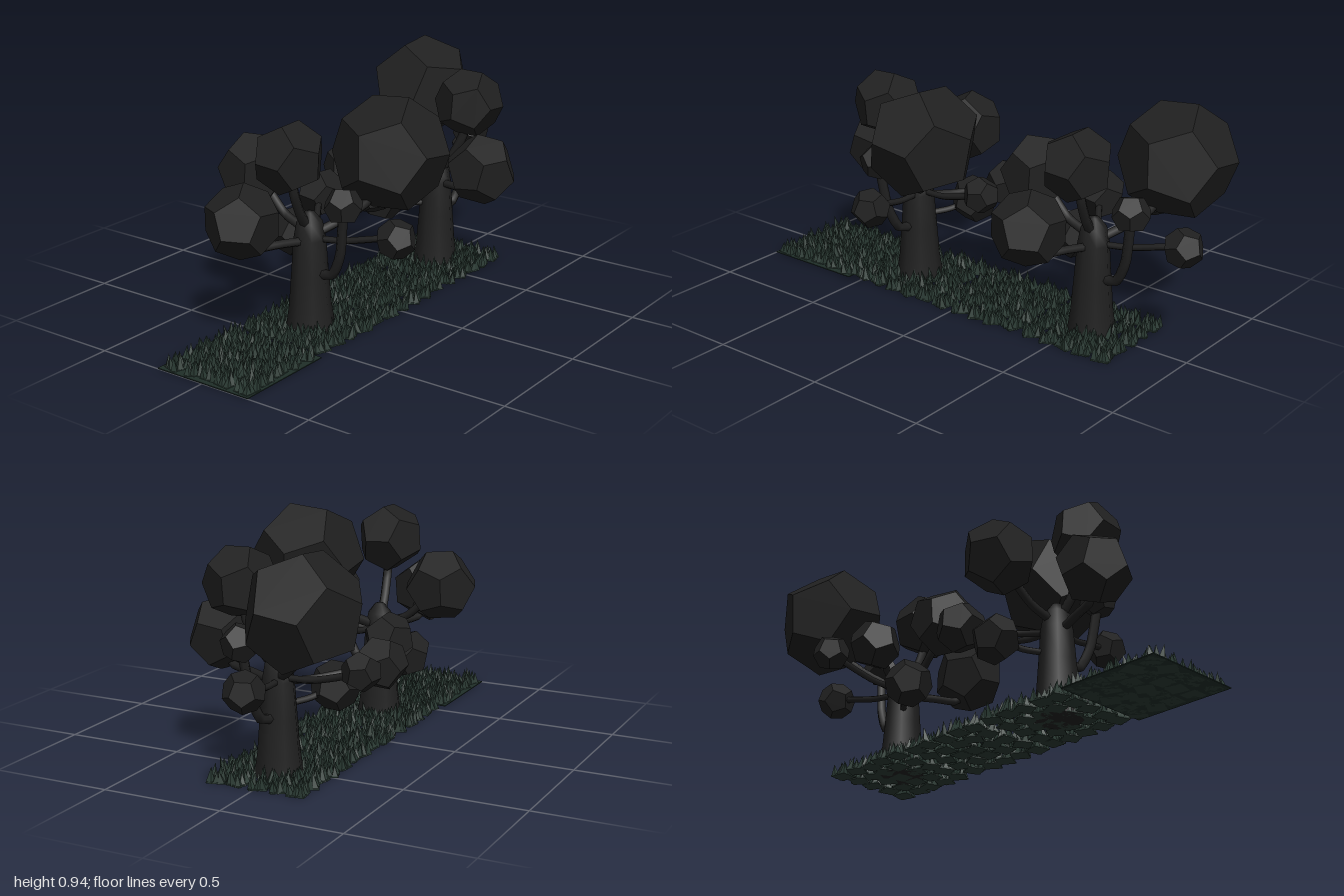
import * as THREE from 'three';
import { mergeGeometries } from 'three/addons/utils/BufferGeometryUtils.js';

const colour = (name, color, flatShading = true) => {
  const m = new THREE.MeshStandardMaterial({ color, flatShading });
  m.name = name;
  return m;
};
const V = (p) => new THREE.Vector3(...p);

function named(geometry, material, name) {
  const mesh = new THREE.Mesh(geometry, material);
  mesh.name = name;
  return mesh;
}

// Small seeded generator for the scattered grass
function seeded(seed) {
  return () => {
    seed = (seed * 16807) % 2147483647;
    return seed / 2147483647;
  };
}

// Each leaf ball: centre, radius, branch thickness and the branch points leading to it
const LEAVES = [
  { at: [0.228, 0.715, 0.226], r: 0.236, thick: 0.02, via: [[0.02, 0.4, 0.02], [0.1, 0.45, 0.09], [0.17, 0.53, 0.17]] },
  { at: [-0.147, 0.75, 0.02], r: 0.148, thick: 0.02, via: [[-0.01, 0.42, 0], [-0.07, 0.5, 0.01], [-0.12, 0.6, 0.02]] },
  { at: [-0.29, 0.51, -0.1], r: 0.152, thick: 0.018, via: [[-0.03, 0.375, 0], [-0.14, 0.385, -0.04], [-0.25, 0.395, -0.08]] },
  { at: [0.03, 0.605, -0.295], r: 0.152, thick: 0.018, via: [[0, 0.41, -0.02], [0.01, 0.45, -0.13], [0.02, 0.52, -0.21]] },
  { at: [0.145, 0.325, -0.195], r: 0.102, thick: 0.014, via: [[0.02, 0.28, -0.02], [0.08, 0.29, -0.1], [0.12, 0.31, -0.16]] },
  { at: [0.335, 0.435, -0.2], r: 0.108, thick: 0.015, via: [[0.02, 0.37, -0.02], [0.13, 0.385, -0.07], [0.25, 0.41, -0.15]] },
  { at: [0.37, 0.465, 0.04], r: 0.078, thick: 0.014, via: [[0.02, 0.39, 0], [0.15, 0.4, 0.02], [0.27, 0.43, 0.03]] },
  { at: [-0.045, 0.565, 0.2], r: 0.078, thick: 0.02, via: [[0, 0.24, 0.04], [-0.01, 0.255, 0.12], [-0.025, 0.36, 0.17]] },
  { at: [0.065, 0.435, 0.37], r: 0.082, thick: 0.014, via: [[0.01, 0.38, 0.03], [0.03, 0.39, 0.15], [0.05, 0.42, 0.28]] },
];

function makeTree(bark, foliage) {
  const tree = new THREE.Group();
  tree.name = 'tree';

  // Flared trunk, closing where the branches fork
  const profile = [[0.1, 0], [0.086, 0.1], [0.075, 0.24], [0.065, 0.38], [0.052, 0.45], [0.02, 0.49], [0, 0.495]];
  tree.add(named(new THREE.LatheGeometry(profile.map((p) => new THREE.Vector2(...p)), 8), bark, 'trunk'));
  const base = named(new THREE.CircleGeometry(0.1, 8).rotateX(Math.PI / 2), bark, 'trunkBase');
  tree.add(base);

  LEAVES.forEach(({ at, r, thick, via }, i) => {
    const path = new THREE.CatmullRomCurve3([...via, at].map(V), false, 'catmullrom', 0.3);
    tree.add(named(new THREE.TubeGeometry(path, 10, thick, 6), bark, 'branch'));
    const ball = named(new THREE.DodecahedronGeometry(r), foliage, 'leafBall');
    ball.position.set(...at);
    ball.rotation.set(0.35 + i * 0.7, 0.5 + i * 1.1, 0.2 + i * 0.4);
    tree.add(ball);
  });
  return tree;
}

// One square tuft: thin base with a 3 x 3 set of leaning blades
function tuftGeometry(rand) {
  const parts = [new THREE.BoxGeometry(0.072, 0.006, 0.072).translate(0, 0.003, 0)];
  for (let i = 0; i < 9; i++) {
    const h = 0.045 + rand() * 0.025;
    const blade = new THREE.ConeGeometry(0.018, h, 4).rotateY(rand() * 3).translate(0, h / 2, 0);
    const x = ((i % 3) - 1) * 0.023, z = (Math.floor(i / 3) - 1) * 0.023;
    const lean = new THREE.Matrix4().set(
      1, (rand() - 0.5) * 0.4, 0, x,
      0, 1, 0, 0,
      0, (rand() - 0.5) * 0.4, 1, z,
      0, 0, 0, 1);
    parts.push(blade.applyMatrix4(lean));
  }
  return mergeGeometries(parts);
}

// Square patch of 5 x 5 scattered tufts
function grassGeometry(rand, size) {
  const step = size / 5;
  const parts = [];
  for (let i = 0; i < 25; i++) {
    const x = ((i % 5) - 2) * step + (rand() - 0.5) * 0.015;
    const z = (Math.floor(i / 5) - 2) * step + (rand() - 0.5) * 0.015;
    parts.push(tuftGeometry(rand).rotateY((rand() - 0.5) * 1.2).translate(x, 0, z));
  }
  return mergeGeometries(parts);
}

export function createModel() {
  const model = new THREE.Group();
  model.name = 'treesWithGrass';
  const bark = colour('dark bark', 0x202020, false);
  const foliage = colour('dark foliage', 0x202020);
  const grass = colour('dark green grass', 0x2a3a33);
  const soil = colour('dark green ground', 0x1f2e28);

  // The same tree twice, the second turned a quarter
  const treeRight = makeTree(bark, foliage);
  treeRight.position.x = -0.345;
  const treeLeft = makeTree(bark, foliage);
  treeLeft.position.x = 0.555;
  treeLeft.rotation.y = Math.PI / 2;
  model.add(treeRight, treeLeft);

  // Four grass patches in a row
  const rand = seeded(4217);
  for (let i = 0; i < 4; i++) {
    const patch = named(grassGeometry(rand, 0.425), grass, 'grassPatch');
    patch.position.x = -0.775 + i * 0.443;
    model.add(patch);
  }

  // Ground plate under the first patch
  const plate = named(new THREE.BoxGeometry(0.44, 0.004, 0.44), soil, 'groundPlate');
  plate.position.set(-0.78, 0.002, 0);
  model.add(plate);
  return model;
}
